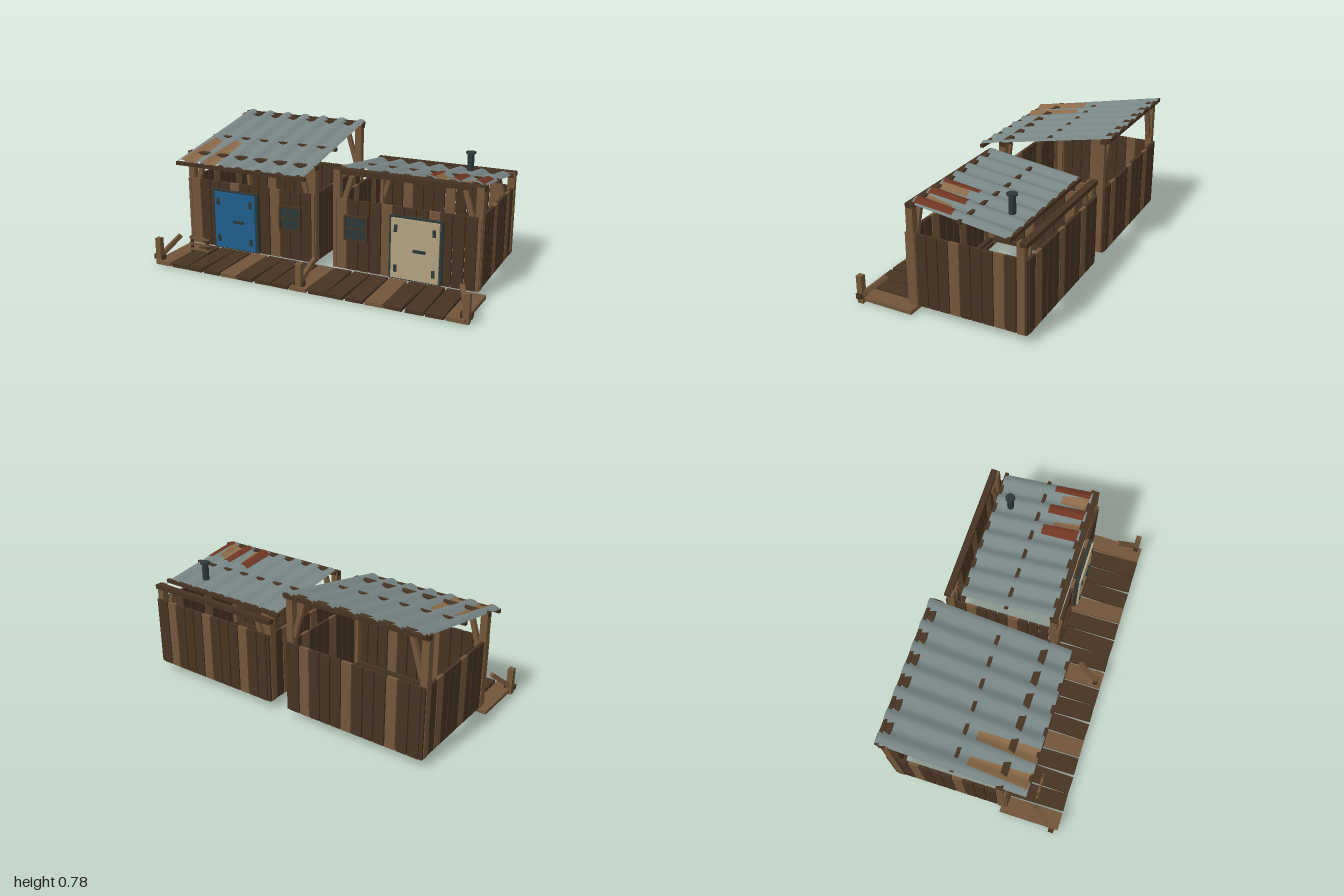
import * as THREE from 'three';

const mat = (name, color, side = THREE.FrontSide) => {
  const m = new THREE.MeshStandardMaterial({ color, side });
  m.name = name;
  return m;
};

export function createModel() {
  const M = {
    light: mat('light wood', 0x72553a),
    dark: mat('dark wood', 0x463322),
    metal: mat('roof metal', 0x788585, THREE.DoubleSide),
    iron: mat('dark iron', 0x2d3838),
    blue: mat('blue paint', 0x205d8c),
    cream: mat('cream paint', 0xb3a280),
    rust: mat('brown rust', 0x8a6a48, THREE.DoubleSide),
    red: mat('red rust', 0x6e3522, THREE.DoubleSide),
  };
  const root = new THREE.Group();
  root.name = 'twinShacks';

  const add = (parent, name, geo, material, x = 0, y = 0, z = 0) => {
    const mesh = new THREE.Mesh(geo, material);
    mesh.name = name;
    mesh.position.set(x, y, z);
    parent.add(mesh);
    return mesh;
  };
  const box = (parent, name, material, w, h, d, x, y, z) =>
    add(parent, name, new THREE.BoxGeometry(w, h, d), material, x, y, z);
  // Square bar running between two points
  const bar = (parent, name, material, a, b, t) => {
    const p = new THREE.Vector3(...a), q = new THREE.Vector3(...b);
    const mesh = box(parent, name, material, t, t, p.distanceTo(q), 0, 0, 0);
    mesh.position.copy(p).add(q).multiplyScalar(0.5);
    mesh.lookAt(q);
    return mesh;
  };
  const plankMat = (i) => (i % 4 === 0 ? M.light : M.dark);

  // Corrugated sheet on a sloped roof; w0 and w1 are its widths at z0 and z1
  const sheet = (parent, name, material, roof, cx, z0, z1, w0, w1, lift) => {
    const nx = Math.max(12, Math.round(w0 * 90));
    const geo = new THREE.PlaneGeometry(1, 1, nx, 4);
    const p = geo.attributes.position;
    for (let i = 0; i < p.count; i++) {
      const t = p.getY(i) + 0.5;
      const x = cx + p.getX(i) * THREE.MathUtils.lerp(w0, w1, t);
      const z = THREE.MathUtils.lerp(z0, z1, t);
      const slope = (z - roof.zF) / (roof.zB - roof.zF);
      const wave = -0.012 * Math.cos((2 * Math.PI * (x - roof.trough)) / roof.pitch);
      p.setXYZ(i, x, THREE.MathUtils.lerp(roof.yF, roof.yB, slope) + wave + lift, z);
    }
    geo.computeVertexNormals();
    add(parent, name, geo, material);
  };

  function door(hut, cx, paint) {
    const g = new THREE.Group();
    g.name = 'door';
    g.position.set(cx, 0.245, 0);
    hut.add(g);
    box(g, 'doorFrame', M.iron, 0.312, 0.372, 0.022, 0, 0, 0.204);
    box(g, 'doorPanel', paint, 0.282, 0.352, 0.014, 0, 0, 0.22);
    for (const sx of [-1, 1]) for (const sy of [-1, 1])
      box(g, 'hinge', M.iron, 0.018, 0.042, 0.008, sx * 0.113, sy * 0.118, 0.23);
    box(g, 'doorHandle', M.iron, 0.072, 0.016, 0.012, 0.028, 0, 0.231);
  }

  function shutter(hut, cx) {
    const g = new THREE.Group();
    g.name = 'window';
    g.position.set(cx, 0.314, 0);
    hut.add(g);
    box(g, 'windowPane', M.iron, 0.13, 0.13, 0.014, 0, 0, 0.2);
    for (const s of [-1, 1]) {
      box(g, 'windowFrameSide', M.dark, 0.01, 0.15, 0.022, s * 0.068, 0, 0.204);
      box(g, 'windowFrameRail', M.dark, 0.146, 0.01, 0.022, 0, s * 0.07, 0.204);
    }
    box(g, 'windowBar', M.dark, 0.13, 0.008, 0.008, 0, 0, 0.209);
  }

  function hut(name, cx, roof, frontTop, backTop) {
    const g = new THREE.Group();
    g.name = name;
    root.add(g);
    const wallY = 0.265, wallH = 0.42;
    // Plank walls
    for (let i = 0; i < 12; i++) {
      const x = cx - 0.385 + i * 0.07;
      box(g, 'frontPlank', plankMat(i), 0.063, wallH, 0.02, x, wallY, 0.185);
      box(g, 'backPlank', plankMat(i + 2), 0.063, wallH, 0.02, x, wallY, -0.503);
    }
    for (const s of [-1, 1]) {
      for (let i = 0; i < 11; i++)
        box(g, 'sidePlank', plankMat(i), 0.018, wallH, 0.059, cx + s * 0.429, wallY, 0.165 - i * 0.0645);
      // Corner posts with slanting braces
      for (const [z, top] of [[0.16, frontTop], [-0.475, backTop]]) {
        box(g, 'cornerPost', M.light, 0.042, top - 0.055, 0.042, cx + s * 0.421, (top + 0.055) / 2, z);
        bar(g, 'postBrace', M.light, [cx + s * 0.4, top - 0.25, z], [cx + s * 0.335, top - 0.03, z], 0.026);
      }
      box(g, 'sideSill', M.dark, 0.025, 0.02, 0.68, cx + s * 0.41, 0.068, -0.16);
    }
    // Sills and top beams
    for (const [z, top] of [[0.16, frontTop], [-0.49, backTop]]) {
      box(g, 'sill', M.dark, 0.84, 0.02, 0.025, cx, 0.068, z);
      box(g, 'topBeam', M.dark, 0.885, 0.026, 0.04, cx, top - 0.01, z);
    }
    // Roof sheet on three purlins
    sheet(g, 'roofSheet', M.metal, roof, roof.cx, roof.zF, roof.zB, roof.w, roof.w, 0);
    for (const [y, z] of roof.purlins)
      box(g, 'purlin', M.dark, 0.875, 0.021, 0.021, roof.cx, y, z);
    return g;
  }

  // Hut with the tall roof rising to the back
  const roofA = {
    cx: -0.5, w: 0.87, zF: 0.31, yF: 0.608, zB: -0.53, yB: 0.773, trough: -0.83, pitch: 0.134,
    purlins: [[0.595, 0.304], [0.678, -0.107], [0.762, -0.518]],
  };
  const a = hut('blueDoorHut', -0.5, roofA, 0.638, 0.76);
  door(a, -0.588, M.blue);
  shutter(a, -0.215);
  for (const x of [-0.853, -0.707])
    sheet(a, 'rustStreak', M.rust, roofA, x, 0.308, -0.04, 0.09, 0.055, 0.004);

  // Hut with the low roof falling to the back
  const roofB = {
    cx: 0.505, w: 0.855, zF: 0.15, yF: 0.649, zB: -0.41, yB: 0.572, trough: 0.17, pitch: 0.13,
    purlins: [[0.636, 0.142], [0.599, -0.132], [0.562, -0.407]],
  };
  const b = hut('creamDoorHut', 0.5, roofB, 0.64, 0.565);
  door(b, 0.577, M.cream);
  shutter(b, 0.212);
  for (const x of [0.66, 0.835])
    sheet(b, 'rustStreak', M.rust, roofB, x, 0.135, -0.025, 0.075, 0.045, 0.003);
  for (const [x, w] of [[0.612, 0.07], [0.757, 0.07], [0.897, 0.058]])
    sheet(b, 'redRustStreak', M.red, roofB, x, 0.138, -0.08, w, w - 0.01, 0.006);

  // Chimney with a wider cap
  add(b, 'chimneyPipe', new THREE.CylinderGeometry(0.02, 0.02, 0.105, 16), M.iron, 0.712, 0.645, -0.311);
  add(b, 'chimneyCap', new THREE.CylinderGeometry(0.03, 0.03, 0.01, 16), M.iron, 0.712, 0.7, -0.311);

  // Boardwalk with slightly crooked planks
  const deck = new THREE.Group();
  deck.name = 'boardwalk';
  root.add(deck);
  for (let i = 0; i < 17; i++) {
    const plank = box(deck, 'deckPlank', plankMat(i), 0.103, 0.022, 0.362, (i - 8) * 0.115, 0.021, 0.338);
    plank.rotation.y = Math.sin(i * 2.3) * 0.025;
  }
  // Mooring posts with collars and braces
  for (const [x, dx] of [[-0.967, 0.07], [-0.008, 0.035], [0.967, -0.07]]) {
    box(deck, 'deckPost', M.light, 0.035, 0.165, 0.035, x, 0.0825, 0.482);
    box(deck, 'postCollar', M.dark, 0.064, 0.03, 0.032, x, 0.047, 0.482);
    bar(deck, 'deckBrace', M.light, [x, 0.05, 0.475], [x + dx, 0.155, 0.36], 0.025);
  }
  // Small rack beside the blue door
  for (const x of [-0.825, -0.715])
    box(deck, 'rackUpright', M.dark, 0.014, 0.103, 0.014, x, 0.105, 0.345);
  for (const y of [0.075, 0.11, 0.147])
    box(deck, 'rackRung', M.light, 0.14, 0.013, 0.012, -0.77, y, 0.347);

  return root;
}
